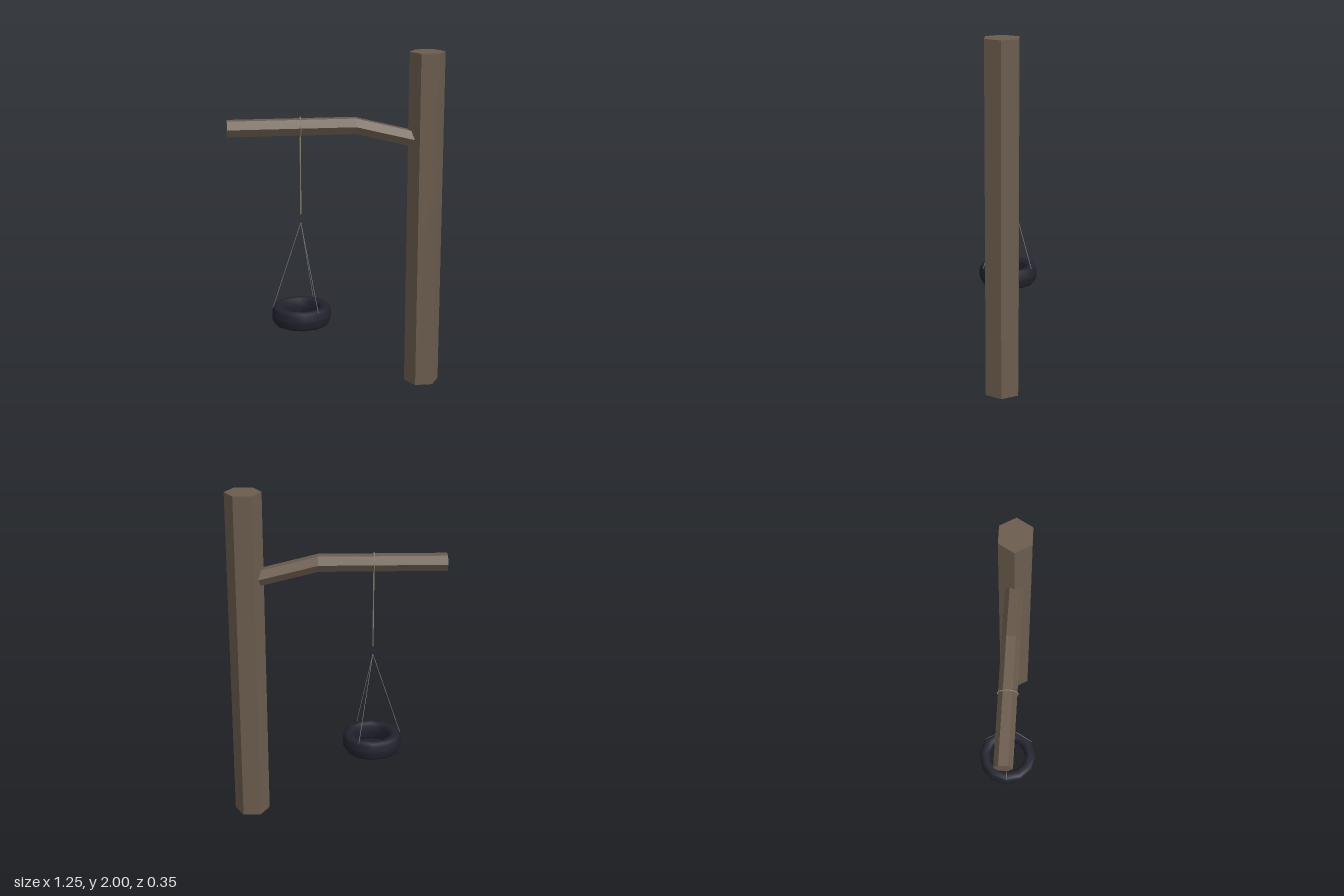
import * as THREE from 'three';

const mat = (name, color) => {
  const m = new THREE.MeshStandardMaterial({ color });
  m.name = name;
  return m;
};

// Gives every face its own flat normal.
function faceted(geometry) {
  const g = geometry.toNonIndexed();
  g.computeVertexNormals();
  return g;
}

export function createModel() {
  const group = new THREE.Group();
  group.name = 'tyreSwing';
  const wood = mat('weathered wood', 0x6b5c4e);
  const rubber = mat('dark rubber', 0x22222e);
  const ropeMat = mat('rope', 0x8c8270);
  const chainMat = mat('chain', 0x85858a);

  const add = (name, geometry, material, x = 0, y = 0, z = 0) => {
    const mesh = new THREE.Mesh(geometry, material);
    mesh.name = name;
    mesh.position.set(x, y, z);
    group.add(mesh);
    return mesh;
  };

  // Thin strand between two points.
  const strand = (name, a, b, radius, material) => {
    const dir = b.clone().sub(a);
    const g = new THREE.CylinderGeometry(radius, radius, dir.length(), 6);
    const mesh = add(name, g, material);
    mesh.position.copy(a).add(b).multiplyScalar(0.5);
    mesh.quaternion.setFromUnitVectors(new THREE.Vector3(0, 1, 0), dir.normalize());
  };

  // Hexagonal post
  const post = new THREE.CylinderGeometry(0.104, 0.104, 2, 6).rotateY(Math.PI / 6);
  add('post', faceted(post), wood, 0.517, 1, 0);

  // Branch: a hexagonal bar whose three rings are moved onto a bent line
  const branch = new THREE.CylinderGeometry(0.052, 0.052, 2, 6, 2).rotateZ(Math.PI / 2);
  const line = [[-0.625, 1.585], [0.105, 1.585], [0.5, 1.487]];
  const p = branch.attributes.position;
  for (let i = 0; i < p.count; i++) {
    const [x, y] = line[Math.round(p.getX(i)) + 1];
    p.setXYZ(i, x, p.getY(i) + y, p.getZ(i));
  }
  add('branch', faceted(branch), wood);

  // Rope: a loop round the branch and the hanging length
  const sx = -0.21;
  const loop = new THREE.TorusGeometry(0.056, 0.0035, 6, 12).rotateY(Math.PI / 2);
  add('ropeLoop', loop, ropeMat, sx, 1.586, 0);
  strand('rope', new THREE.Vector3(sx, 1.07, 0), new THREE.Vector3(sx, 1.535, 0), 0.004, ropeMat);

  // Three chains spreading to the tyre
  const apex = new THREE.Vector3(sx, 1.02, 0);
  for (let i = 0; i < 3; i++) {
    const a = Math.PI + (i * Math.PI * 2) / 3;
    const end = new THREE.Vector3(sx + Math.cos(a) * 0.167, 0.51, Math.sin(a) * 0.167);
    strand('chain', apex, end, 0.0018, chainMat);
  }

  // Tyre: rounded section turned in twelve steps
  const section = [];
  const n = 12;
  for (let i = 0; i <= n; i++) {
    const a = (i / n) * Math.PI * 2;
    const soft = (v) => Math.sign(v) * Math.pow(Math.abs(v), 0.7);
    section.push(new THREE.Vector2(0.14 + 0.035 * soft(Math.cos(a)), 0.057 * soft(Math.sin(a))));
  }
  add('tyre', new THREE.LatheGeometry(section, 12), rubber, sx, 0.458, 0);

  return group;
}
